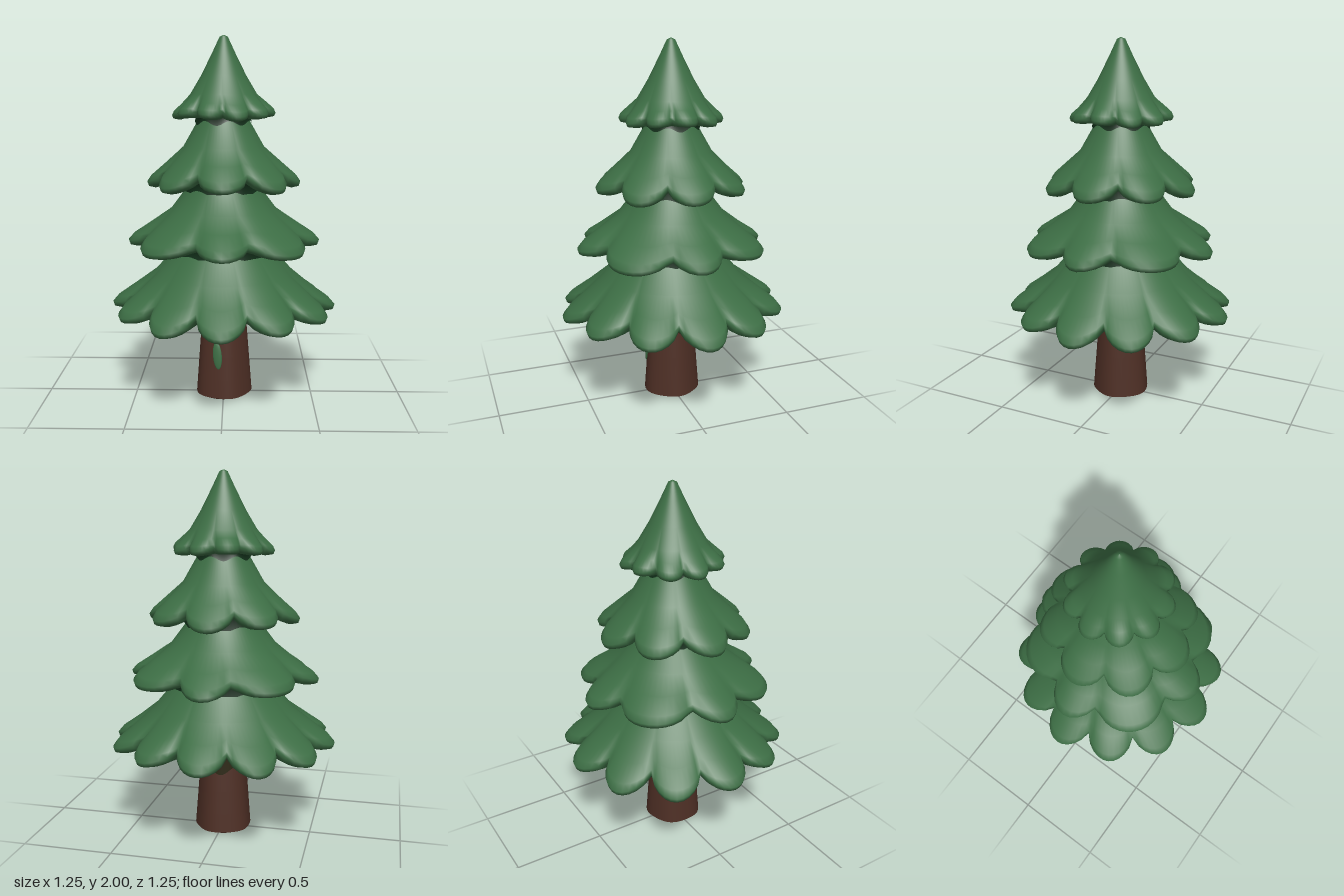
import * as THREE from 'three';

const mat = (name, color) => {
  const m = new THREE.MeshStandardMaterial({ color });
  m.name = name;
  return m;
};

// Skin closed rings, listed top to bottom; ring(i, angle, j) gives [radius, y]
function loft(rows, cols, ring) {
  const pos = [], idx = [];
  for (let i = 0; i < rows; i++) {
    for (let j = 0; j < cols; j++) {
      const a = (j / cols) * Math.PI * 2;
      const [r, y] = ring(i, a, j);
      pos.push(r * Math.sin(a), y, r * Math.cos(a));
      if (i === rows - 1) continue;
      const k = (j + 1) % cols;
      const p = i * cols + j, q = i * cols + k;
      idx.push(p, p + cols, q + cols, p, q + cols, q);
    }
  }
  const g = new THREE.BufferGeometry();
  g.setAttribute('position', new THREE.Float32BufferAttribute(pos, 3));
  g.setIndex(idx);
  g.computeVertexNormals();
  return g;
}

const lerp = THREE.MathUtils.lerp;

// Each tier: plain profile [r, y], then the lobe tip and the valley between lobes
const TIERS = [
  { name: 'bottomTier', lobes: 12, phase: 0, warp: 0, neck: 0.11, neckY: 0.56,
    profile: [[0.2, 0.95], [0.27, 0.85], [0.38, 0.72]], tip: [0.625, 0.53], valley: [0.5, 0.6] },
  { name: 'lowerMiddleTier', lobes: 8, phase: 0, warp: 0.06, neck: 0.27, neckY: 0.83,
    profile: [[0.16, 1.3], [0.2, 1.19], [0.29, 1.07]], tip: [0.53, 0.895], valley: [0.41, 0.95] },
  { name: 'upperMiddleTier', lobes: 8, phase: 0, warp: 0, neck: 0.2, neckY: 1.175,
    profile: [[0.1, 1.65], [0.14, 1.55], [0.22, 1.41]], tip: [0.42, 1.22], valley: [0.33, 1.285] },
  { name: 'topTier', lobes: 10, phase: Math.PI / 2, warp: 0, neck: 0.14, neckY: 1.54,
    profile: [[0, 2], [0.022, 1.99], [0.06, 1.91], [0.12, 1.79], [0.18, 1.69]], tip: [0.28, 1.585], valley: [0.225, 1.61] },
];

function makeTier(t, green, dark) {
  const group = new THREE.Group();
  group.name = t.name;
  const cols = t.lobes * 10;
  const [tr, ty] = t.tip, [vr, vy] = t.valley;
  const [lr, ly] = t.profile[t.profile.length - 1];
  const th = t.lobes === 10 ? 0.025 : 0.032;
  // Rows as [tip radius, tip y, valley radius, valley y]
  const rows = t.profile.map(([r, y]) => [r, y, r, y]);
  rows.push(
    [lerp(lr, tr, 0.5), lerp(ly, ty, 0.5) + 0.005, lerp(lr, vr, 0.55), lerp(ly, vy, 0.55)],
    [lerp(lr, tr, 0.88), lerp(ly, ty, 0.88) + 0.012, lerp(lr, vr, 0.93), lerp(ly, vy, 0.93)],
    [tr, ty, vr, vy - 0.008],
    [tr - 0.008, ty - th * 0.75, vr - 0.01, vy - 0.03],
    [tr - 0.045, ty - th, vr - 0.035, vy - 0.04],
  );
  const at = (row, a) => {
    const s = a - t.phase + t.warp * Math.sin(4 * a);
    const c = Math.pow(Math.abs(Math.cos((t.lobes * s) / 2)), 0.75);
    const droop = row[0] === row[2] ? 0 : 0.008 * c * Math.sin(3 * a + t.lobes);
    return [lerp(row[2], row[0], c), lerp(row[3], row[1], c) + droop];
  };
  const skirt = new THREE.Mesh(loft(rows.length, cols, (i, a) => at(rows[i], a)), green);
  skirt.name = 'scallopedSkirt';

  // Underside: bumpy needles on the lowest tier, a plain shaded neck on the others
  const rim = rows[rows.length - 1];
  const lowest = t.name === 'bottomTier';
  const steps = lowest ? 8 : 3;
  const under = new THREE.Mesh(loft(steps, cols, (i, a, j) => {
    const [r, y] = at(rim, a);
    if (i === 0) return [r, y];
    if (lowest) {
      const k = i / (steps - 1);
      const bump = i < steps - 1 ? 0.018 * Math.cos(j * 1.256 + i * Math.PI) : 0;
      return [lerp(r, t.neck, k), lerp(y, t.neckY, Math.sqrt(k)) + bump];
    }
    return i === 1 ? [t.neck, vy - 0.02]
      : [t.neck + 0.015, t.neckY + 0.012 * Math.sin(7 * a)];
  }), lowest ? green : dark);
  under.name = 'underside';
  group.add(skirt, under);
  return group;
}

export function createModel() {
  const green = mat('foliageGreen', 0x3c6d44);
  const dark = mat('deepShadeGreen', 0x12301a);
  const brown = mat('barkBrown', 0x4e2f25);
  const olive = mat('mossyBark', 0x2b2611);

  const tree = new THREE.Group();
  tree.name = 'pineTree';
  TIERS.forEach((t) => tree.add(makeTier(t, green, dark)));

  // Trunk: tapered with shallow folds, and an uneven mossy edge near the top
  const trunk = new THREE.Group();
  trunk.name = 'trunk';
  const edge = (a) => 0.385 + 0.022 * Math.cos(a) + 0.018 * Math.sin(5 * a + 1);
  const radius = (y, a) =>
    lerp(0.158, 0.124, Math.min(1, y / 0.45)) + 0.004 * Math.sin(5 * a) * (1 - y);
  const part = (name, ys, material) => {
    const mesh = new THREE.Mesh(loft(ys.length, 40, (i, a) => {
      const y = ys[i](a);
      return [radius(y, a), y];
    }), material);
    mesh.name = name;
    trunk.add(mesh);
  };
  part('mossyTrunkTop', [() => 0.6, () => 0.5, edge], olive);
  part('trunkBark', [edge, () => 0.25, () => 0.12, () => 0.015], brown);

  // Slightly domed trunk base
  const base = new THREE.Mesh(loft(3, 40, (i, a) =>
    [[radius(0.015, a), 0.015], [0.13, 0.002], [0, 0]][i]), brown);
  base.name = 'trunkBase';
  trunk.add(base);

  // Leaf-green moss spots on the bark: [x, y, z, half width, half height]
  [[-0.032, 0.26, 0.136, 0.026, 0.078], [-0.03, 0.47, -0.12, 0.014, 0.025]]
    .forEach(([x, y, z, w, h]) => {
      const spot = new THREE.Mesh(new THREE.SphereGeometry(1, 14, 10), green);
      spot.name = 'mossSpot';
      spot.scale.set(w, h, 0.009);
      spot.position.set(x, y, z);
      spot.rotation.set(-0.08 * Math.sign(z), Math.atan2(x, z), 0.08);
      trunk.add(spot);
    });
  tree.add(trunk);
  return tree;
}
